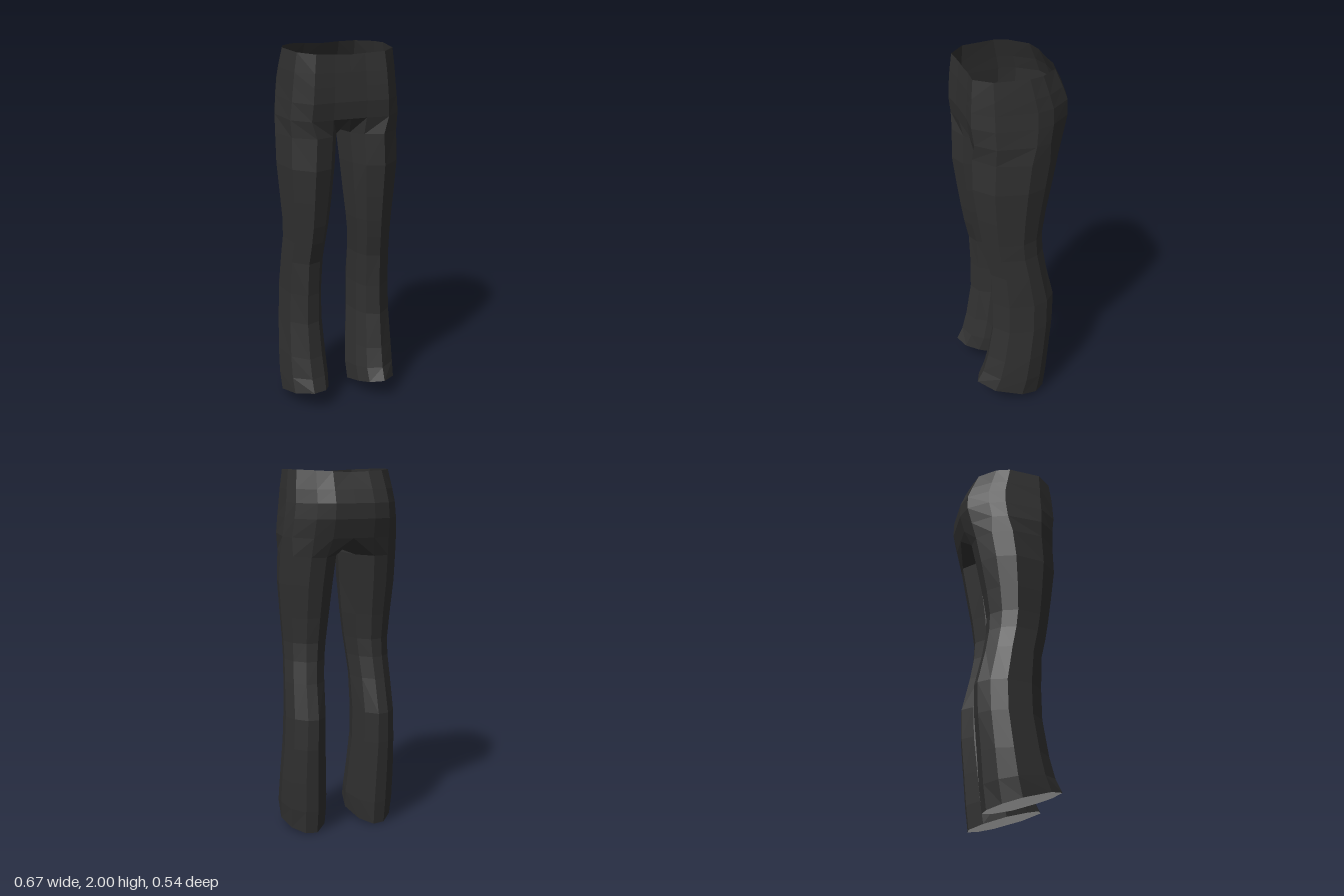
import * as THREE from 'three';

const cloth = new THREE.MeshStandardMaterial({ name: 'charcoal cloth', color: 0x303030, flatShading: true, side: THREE.DoubleSide });
const lining = new THREE.MeshStandardMaterial({ name: 'pale hem cap', color: 0xe4e4e4, flatShading: true, side: THREE.DoubleSide });

// Half section of the hips, front seam to back seam: [across 0..1, back 0 to front 1]
const HIP = [[0, 0.98], [0.28, 0.98], [0.65, 1], [0.92, 0.82], [1, 0.42], [0.92, 0.25], [0.65, 0.05], [0.35, 0], [0, 0]];
// Closed section of a leg, same order plus the innermost point
const LEG = [[0.1, 0.74], [0.25, 0.92], [0.55, 1], [0.88, 0.8], [1, 0.42], [0.89, 0.18], [0.65, 0.02], [0.4, 0], [0.15, 0.16], [0, 0.45]];

// Levels: [y, inner x, outer x, back z, front z, rise towards the front]
const HIP_LEVELS = [
  [1.985, 0, 0.28, -0.195, 0.25, 0],
  [1.9, 0, 0.295, -0.238, 0.26, 0],
  [1.83, 0, 0.303, -0.265, 0.265, 0],
  [1.75, 0, 0.312, -0.266, 0.268, 0],
  [1.65, 0, 0.322, -0.24, 0.257, 0.01],
];
const LEG_LEVELS = [
  [1.55, 0.006, 0.328, -0.2, 0.262, 0.02],
  [1.4, 0.02, 0.33, -0.17, 0.265, 0],
  [1.22, 0.038, 0.317, -0.135, 0.242, 0],
  [1.08, 0.055, 0.306, -0.115, 0.222, 0],
  [0.98, 0.068, 0.304, -0.12, 0.205, 0],
  [0.86, 0.078, 0.31, -0.14, 0.178, 0],
  [0.67, 0.082, 0.317, -0.184, 0.17, 0],
  [0.5, 0.081, 0.324, -0.18, 0.172, 0],
  [0.3, 0.068, 0.334, -0.163, 0.205, 0],
  [0.13, 0.06, 0.336, -0.15, 0.235, 0.06],
  [0, 0.066, 0.33, -0.135, 0.27, 0.12],
];

function ring(section, [y, xi, xo, zb, zf, rise], side) {
  return section.map(([u, v]) => [side * (xi + (xo - xi) * u), y + rise * v, zb + (zf - zb) * v]);
}

// Skin a stack of rings listed from top to bottom
function loft(rings, closed, side) {
  const n = rings[0].length;
  const index = [];
  const tri = (a, b, c) => index.push(...(side > 0 ? [a, b, c] : [a, c, b]));
  for (let r = 0; r < rings.length - 1; r++) {
    for (let i = 0; i < (closed ? n : n - 1); i++) {
      const j = (i + 1) % n;
      const a = r * n + i, b = r * n + j, c = a + n, d = b + n;
      tri(c, d, b);
      tri(c, b, a);
    }
  }
  return toGeometry(rings.flat(), index);
}

function toGeometry(points, index) {
  const g = new THREE.BufferGeometry();
  g.setAttribute('position', new THREE.Float32BufferAttribute(points.flat(), 3));
  g.setIndex(index);
  g.computeVertexNormals();
  return g;
}

// Fan closing the leg opening, sagging slightly in the middle
function fan(rim, apex, side) {
  const n = rim.length;
  const index = [];
  for (let i = 0; i < n; i++) {
    const j = (i + 1) % n;
    index.push(...(side > 0 ? [n, j, i] : [n, i, j]));
  }
  return toGeometry([...rim, apex], index);
}

export function createModel() {
  const group = new THREE.Group();
  group.name = 'trousers';
  const add = (name, geometry, material) => {
    const mesh = new THREE.Mesh(geometry, material);
    mesh.name = name;
    group.add(mesh);
  };

  for (const [side, label] of [[1, 'left'], [-1, 'right']]) {
    // Hips, with the waistband dipping at the middle
    const hips = HIP_LEVELS.map((level) => ring(HIP, level, side));
    hips[0].forEach((p, i) => { p[1] += 0.015 * HIP[i][0]; });
    add(label + 'Hip', loft(hips, false, side), cloth);

    // Leg, starting at the hip edge and the crotch point
    const top = [...hips[hips.length - 1], [0, 1.58, 0.03]];
    const legs = [top, ...LEG_LEVELS.map((level) => ring(LEG, level, side))];
    add(label + 'Leg', loft(legs, true, side), cloth);

    // Hem cap
    add(label + 'HemCap', fan(legs[legs.length - 1], [side * 0.195, 0.035, 0.05], side), lining);
  }
  return group;
}
